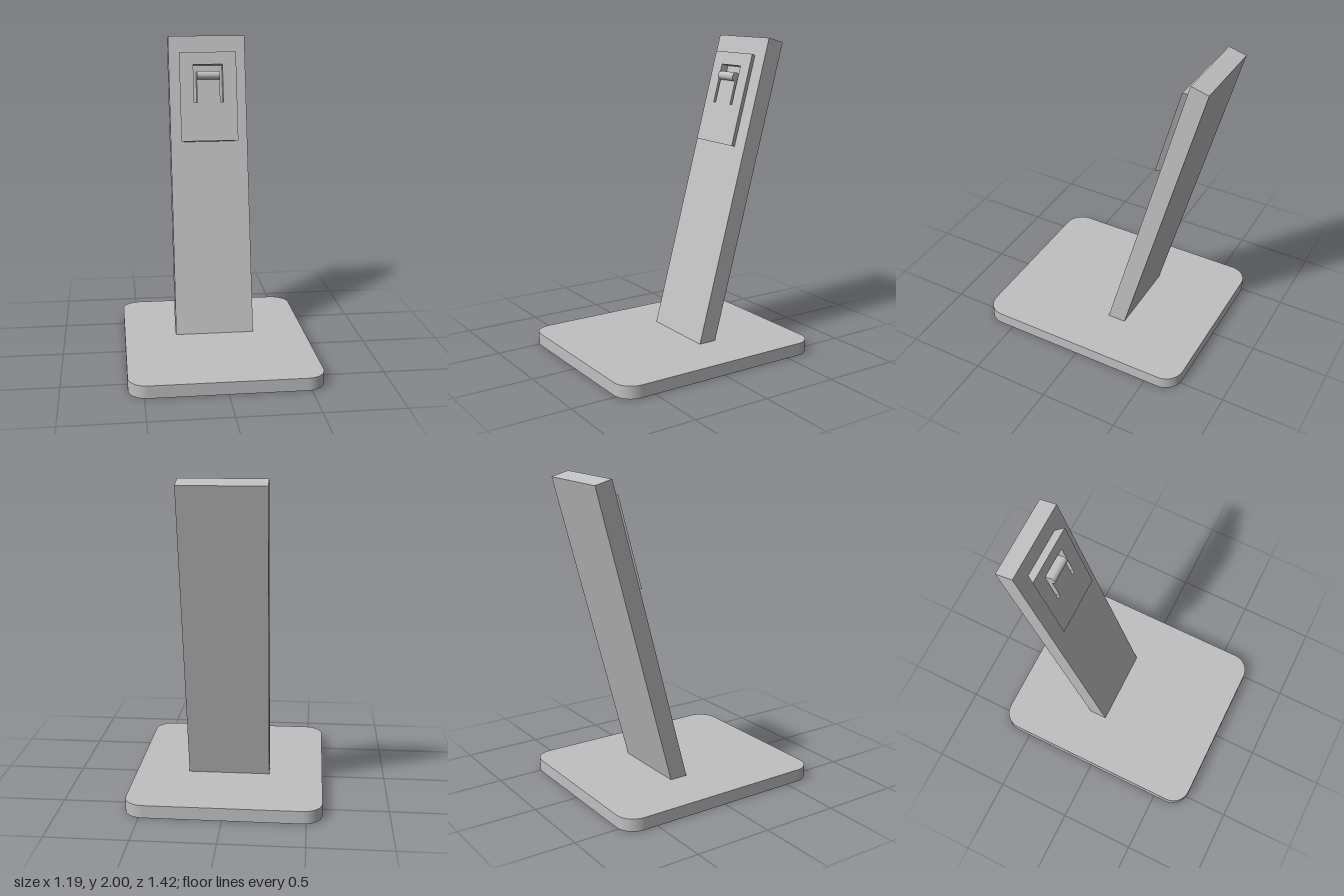
import * as THREE from 'three';
import { toCreasedNormals } from 'three/addons/utils/BufferGeometryUtils.js';

const grey = new THREE.MeshStandardMaterial({ color: 0xc0c0c0 });
grey.name = 'grey';

const TILT = THREE.MathUtils.degToRad(15);

function part(name, geometry, parent) {
  const mesh = new THREE.Mesh(geometry, grey);
  mesh.name = name;
  parent.add(mesh);
  return mesh;
}

// Move every vertex of a geometry by a rule
function reshape(geometry, rule) {
  const pos = geometry.attributes.position;
  const v = new THREE.Vector3();
  for (let i = 0; i < pos.count; i++) {
    rule(v.fromBufferAttribute(pos, i));
    pos.setXYZ(i, v.x, v.y, v.z);
  }
  geometry.computeVertexNormals();
  return geometry;
}

// Flat slab with rounded corners, lying on y = 0
function baseGeometry(w, d, h, r) {
  const x = w / 2, y = d / 2;
  const s = new THREE.Shape();
  s.absarc(x - r, y - r, r, 0, Math.PI / 2);
  s.absarc(-x + r, y - r, r, Math.PI / 2, Math.PI);
  s.absarc(-x + r, -y + r, r, Math.PI, Math.PI * 1.5);
  s.absarc(x - r, -y + r, r, Math.PI * 1.5, Math.PI * 2);
  const g = new THREE.ExtrudeGeometry(s, { depth: h, bevelEnabled: false, curveSegments: 12 });
  g.rotateX(-Math.PI / 2);
  return toCreasedNormals(g, 0.5);
}

// Leaning post, its foot cut level where it meets the base
function postGeometry(w, length, t) {
  const g = new THREE.BoxGeometry(w, length, t);
  g.translate(0, length / 2, -t / 2);
  return reshape(g, (v) => {
    if (v.y < 0.01) v.y = -v.z * Math.tan(TILT);
  });
}

// Plate with a U-shaped slot that frees a spring tongue; sides narrow to the back
function plateGeometry(bottom, top, depth) {
  const points = (list) => list.map(([x, y]) => new THREE.Vector2(x, y));
  const s = new THREE.Shape(points([[-0.19, bottom], [0.19, bottom], [0.19, top], [-0.19, top]]));
  s.holes.push(new THREE.Path(points([
    [-0.098, 1.536], [-0.098, 1.788], [0.098, 1.788], [0.098, 1.536],
    [0.077, 1.536], [0.077, 1.741], [-0.077, 1.741], [-0.077, 1.536],
  ])));
  const g = new THREE.ExtrudeGeometry(s, { depth, bevelEnabled: false });
  return reshape(g, (v) => {
    if (Math.abs(v.x) > 0.15 && v.z < depth / 2) v.x = Math.sign(v.x) * 0.157;
  });
}

export function createModel() {
  const model = new THREE.Group();
  model.name = 'stand';

  part('base', baseGeometry(1.19, 1.42, 0.08, 0.12), model);

  // Everything on the post shares its backward lean
  const upright = new THREE.Group();
  upright.name = 'upright';
  upright.position.set(0, 0.08, -0.055);
  upright.rotation.x = -TILT;
  model.add(upright);

  part('post', postGeometry(0.514, 1.988, 0.115), upright);
  part('mountingPlate', plateGeometry(1.279, 1.871, 0.05), upright);

  // Round catch at the tip of the tongue
  const catchBar = part('catchBar', new THREE.CylinderGeometry(0.028, 0.028, 0.154, 32), upright);
  catchBar.rotation.z = Math.PI / 2;
  catchBar.position.set(0, 1.715, 0.05);

  return model;
}
